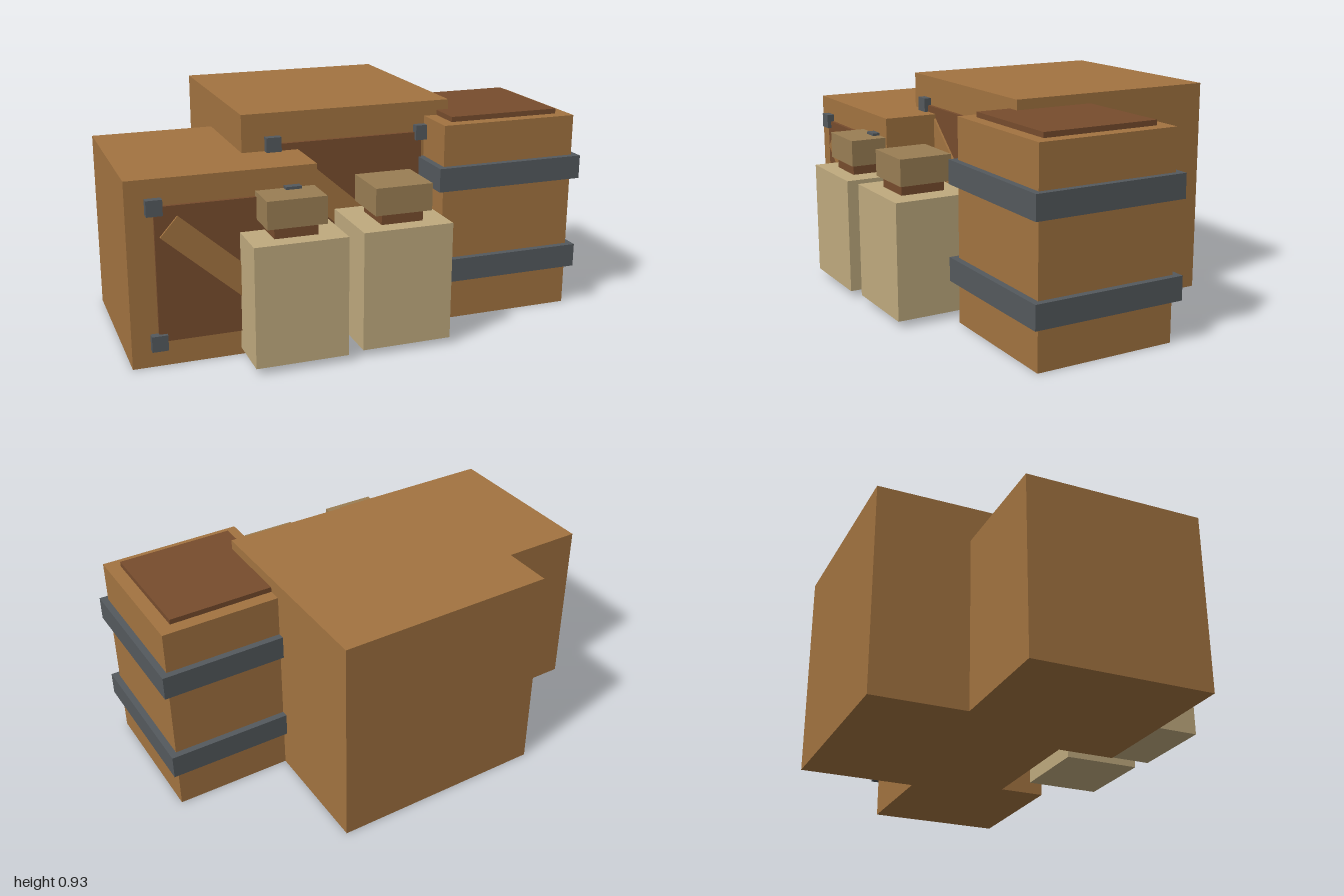
import * as THREE from 'three';

const flat = (name, color) => {
  const m = new THREE.MeshStandardMaterial({ color });
  m.name = name;
  return m;
};

export function createModel() {
  const wood = flat('wood', 0xa27340);
  const darkWood = flat('dark wood', 0x774c2d);
  const iron = flat('iron', 0x54595d);
  const cloth = flat('cloth', 0xbfaa7e);
  const foldedCloth = flat('folded cloth', 0x9a7e54);

  // Box given by its size and its centre
  const box = (parent, name, material, size, pos) => {
    const mesh = new THREE.Mesh(new THREE.BoxGeometry(...size), material);
    mesh.name = name;
    mesh.position.set(...pos);
    parent.add(mesh);
    return mesh;
  };
  const group = (parent, name, x, z) => {
    const g = new THREE.Group();
    g.name = name;
    g.position.set(x, 0, z);
    parent.add(g);
    return g;
  };

  const model = new THREE.Group();
  model.name = 'cargoPile';

  // Crates: cube with a front panel, a diagonal brace and iron corners
  const crate = (name, s, x, z) => {
    const g = group(model, name, x, z);
    const mid = s / 2, face = s / 2, reach = 0.36 * s;
    box(g, 'crateBody', wood, [s, s, s], [0, mid, 0]);
    box(g, 'frontPanel', darkWood, [reach * 2, reach * 2, 0.03], [0, mid, face]);
    const brace = box(g, 'diagonalBrace', wood, [0.77 * s, 0.14 * s, 0.03], [0, mid, face + 0.009]);
    brace.rotation.z = -0.72;
    for (const sx of [-1, 1]) {
      for (const sy of [-1, 1]) {
        box(g, 'ironCorner', iron, [0.065, 0.065, 0.065], [sx * reach, mid + sy * reach, face]);
      }
    }
  };
  crate('largeCrate', 0.933, 0, -0.24);
  crate('smallCrate', 0.773, -0.614, 0.099);

  // Square barrel with two iron bands and a lid
  const barrel = group(model, 'barrel', 0.662, 0.126);
  box(barrel, 'barrelBody', wood, [0.615, 0.868, 0.615], [0, 0.434, 0]);
  box(barrel, 'lid', darkWood, [0.5, 0.04, 0.505], [0, 0.87, 0]);
  for (const y of [0.23, 0.64]) box(barrel, 'ironBand', iron, [0.672, 0.102, 0.672], [0, y, 0]);

  // Sacks tied at the neck
  for (const [x, z] of [[-0.363, 0.53], [0.093, 0.509]]) {
    const sack = group(model, 'sack', x, z);
    box(sack, 'sackBody', cloth, [0.385, 0.5, 0.34], [0, 0.277, 0]);
    box(sack, 'sackNeck', darkWood, [0.18, 0.08, 0.195], [0, 0.55, 0]);
    box(sack, 'sackTop', foldedCloth, [0.245, 0.114, 0.23], [0, 0.629, 0]);
  }

  return model;
}
